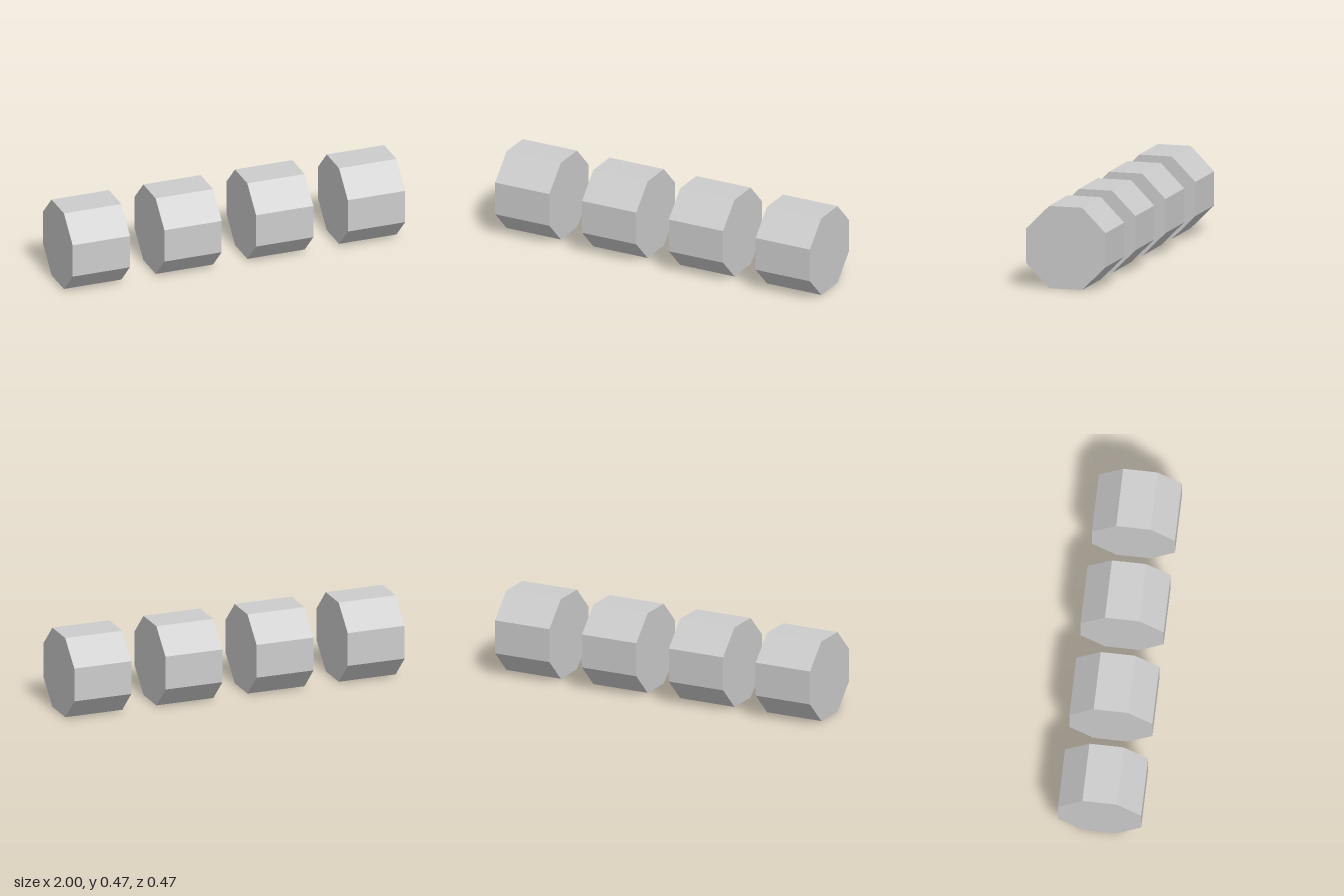
import * as THREE from 'three';

export function createModel() {
  const model = new THREE.Group();
  model.name = 'octagonalWheelRow';

  const paleGrey = new THREE.MeshStandardMaterial({ color: 0xcccccc, flatShading: true });
  paleGrey.name = 'paleGrey';

  const count = 4;
  const width = 0.345;
  const apothem = 0.235; // centre to flat side
  const spacing = (2 - width) / (count - 1);

  // Octagonal prism lying along x, resting on a flat side
  const geometry = new THREE.CylinderGeometry(1, 1, width, 8, 1, false, Math.PI / 8);
  const radius = apothem / Math.cos(Math.PI / 8);
  geometry.scale(radius, 1, radius);
  geometry.rotateZ(Math.PI / 2);

  // Evenly spaced wheels, from the model's right to its left
  for (let i = 0; i < count; i++) {
    const wheel = new THREE.Mesh(geometry, paleGrey);
    wheel.name = `wheel${i + 1}`;
    wheel.position.set((i - (count - 1) / 2) * spacing, apothem, 0);
    model.add(wheel);
  }

  return model;
}
